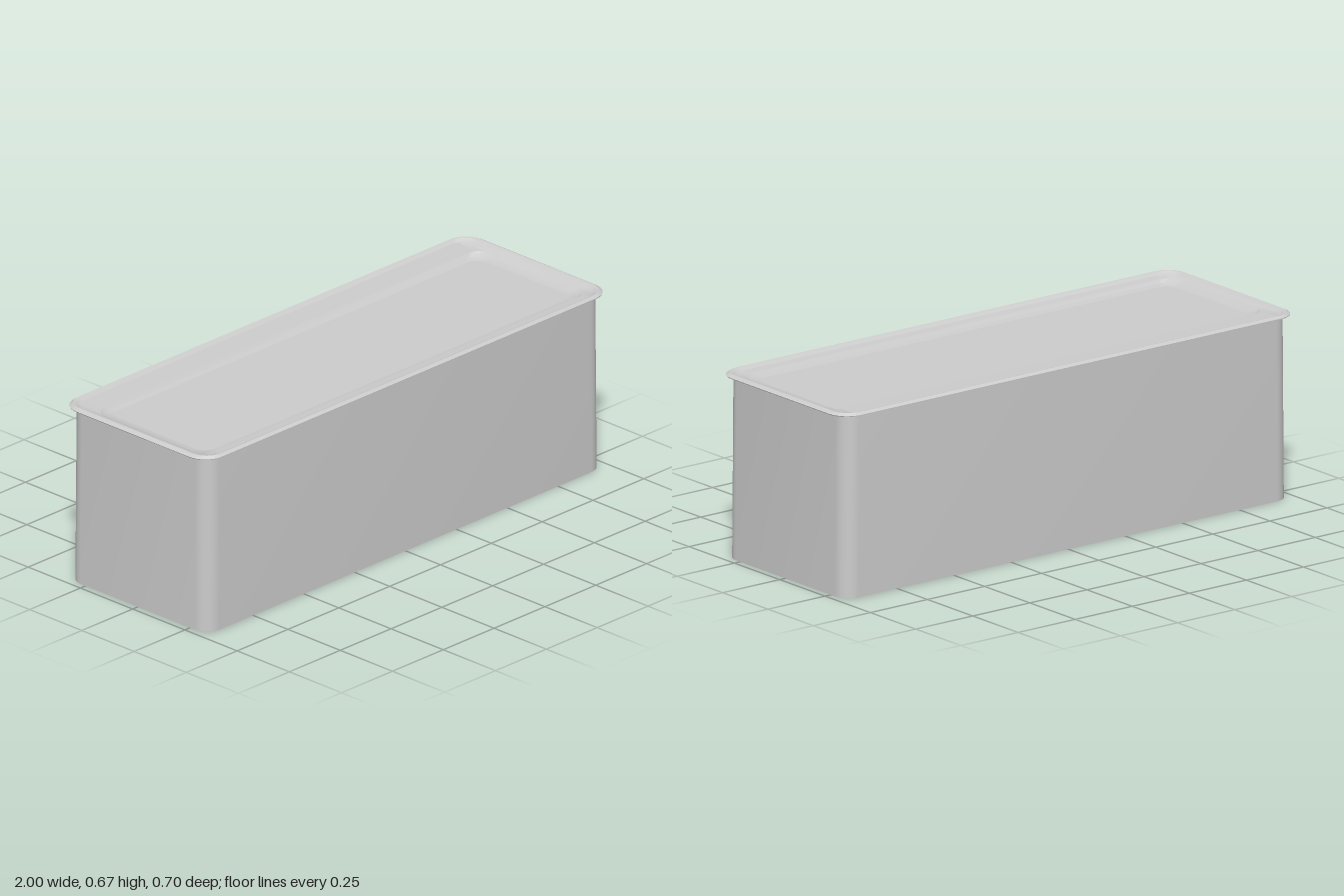
import * as THREE from 'three';
import { toCreasedNormals } from 'three/addons/utils/BufferGeometryUtils.js';

const CORNER_STEPS = 8;

// One rounded-rectangle cross-section, counter-clockwise seen from above
function ring({ x, back, front, y, r }) {
  const corners = [
    [x - r, back + r, 0], [-x + r, back + r, 1],
    [-x + r, front - r, 2], [x - r, front - r, 3],
  ];
  const points = [];
  for (const [cx, cz, quarter] of corners) {
    for (let i = 0; i <= CORNER_STEPS; i++) {
      const a = (quarter + i / CORNER_STEPS) * Math.PI / 2;
      points.push([cx + r * Math.cos(a), y, cz - r * Math.sin(a)]);
    }
  }
  return points;
}

// Skin a stack of cross-sections, optionally closing its first or last end
function loft(sections, { capStart = false, capEnd = false } = {}) {
  const positions = [], index = [];
  const n = (CORNER_STEPS + 1) * 4;
  for (const s of sections) for (const p of ring(s)) positions.push(...p);
  for (let k = 0; k < sections.length - 1; k++) {
    for (let i = 0; i < n; i++) {
      const a = k * n + i, b = k * n + (i + 1) % n;
      index.push(a, b, b + n, a, b + n, a + n);
    }
  }
  const cap = (k, up) => {
    const s = sections[k], c = positions.length / 3;
    positions.push(0, s.y, (s.back + s.front) / 2);
    for (let i = 0; i < n; i++) {
      const a = k * n + i, b = k * n + (i + 1) % n;
      index.push(c, up ? a : b, up ? b : a);
    }
  };
  if (capStart) cap(0, false);
  if (capEnd) cap(sections.length - 1, true);
  const geometry = new THREE.BufferGeometry();
  geometry.setAttribute('position', new THREE.Float32BufferAttribute(positions, 3));
  geometry.setIndex(index);
  return toCreasedNormals(geometry, 0.5);
}

export function createModel() {
  const group = new THREE.Group();
  const material = new THREE.MeshStandardMaterial({ color: 0xcccccc });
  const add = (name, geometry) => {
    const mesh = new THREE.Mesh(geometry, material);
    mesh.name = name;
    group.add(mesh);
  };

  const wallTop = { x: 0.972, back: -0.33, front: 0.33, y: 0.655, r: 0.06 };
  const rimInner = { x: 0.975, back: -0.332, front: 0.332, y: 0.664, r: 0.06 };
  const floorEdge = { x: 0.905, back: -0.205, front: 0.255, y: 0.638, r: 0.05 };

  // Slightly tapered walls with a closed bottom
  add('body', loft([
    { x: 0.975, back: -0.333, front: 0.333, y: 0, r: 0.06 },
    wallTop,
  ], { capStart: true }));

  // Thin overhanging lip with a sloped outer edge
  add('rim', loft([
    wallTop,
    { x: 0.998, back: -0.35, front: 0.35, y: 0.655, r: 0.08 },
    { x: 1, back: -0.35, front: 0.35, y: 0.658, r: 0.08 },
    { x: 0.985, back: -0.34, front: 0.34, y: 0.666, r: 0.07 },
    rimInner,
  ]));

  // Sunken ledge, wider at the back, stepping down to the tray floor
  add('ledge', loft([
    rimInner,
    { x: 0.965, back: -0.322, front: 0.322, y: 0.656, r: 0.06 },
    { x: 0.95, back: -0.235, front: 0.29, y: 0.653, r: 0.06 },
    { x: 0.935, back: -0.225, front: 0.28, y: 0.642, r: 0.06 },
    floorEdge,
  ]));

  // Flat tray floor
  add('trayFloor', loft([floorEdge], { capEnd: true }));

  return group;
}
